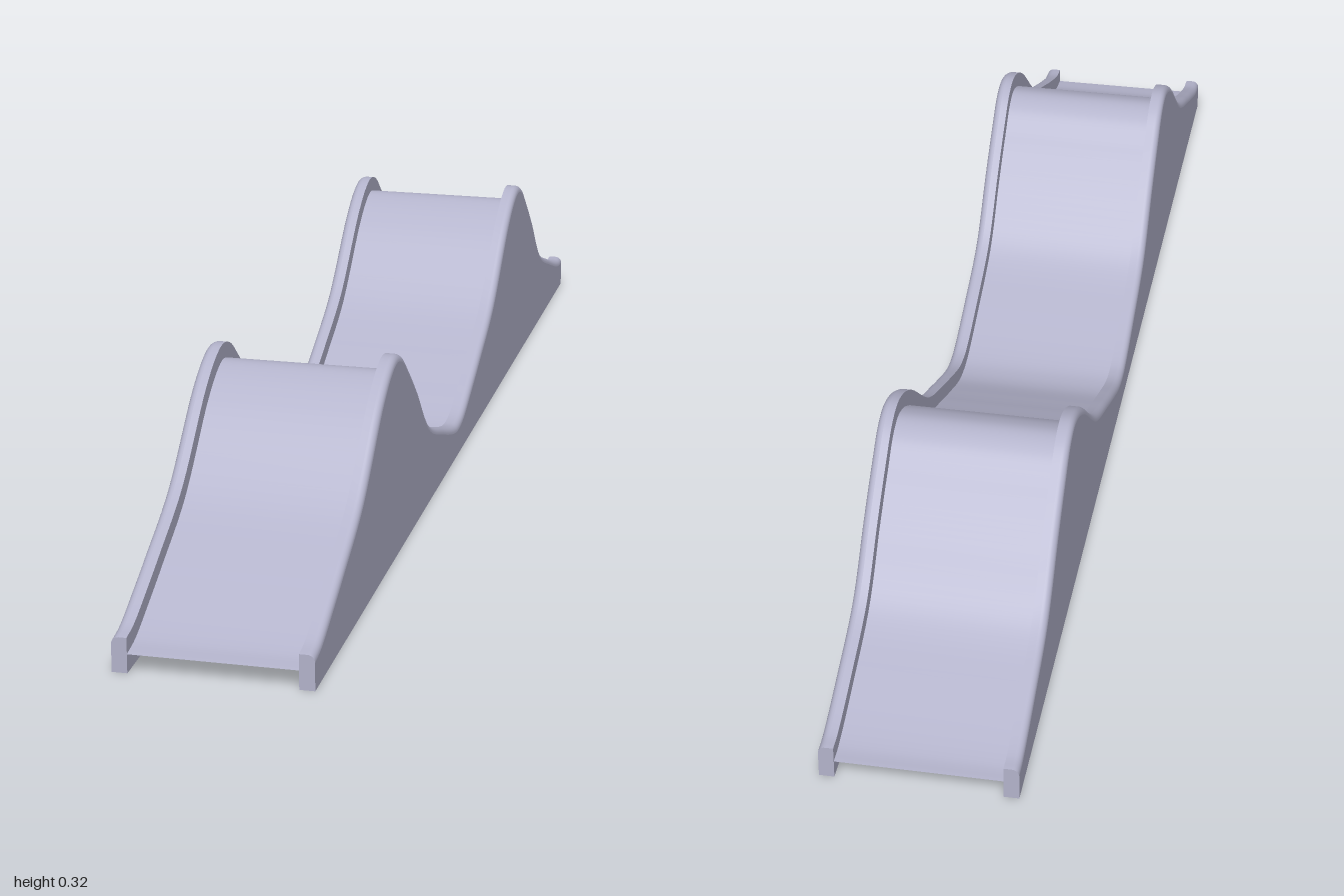
import * as THREE from 'three';

const INNER = 0.125, OUTER = 0.148, FILLET = 0.011, BED_DROP = 0.0245;

// One hump: distance along the slide, height of the wall
const HUMP = [
  [0, 0.054], [0.03, 0.056], [0.13, 0.088], [0.24, 0.134], [0.33, 0.222], [0.395, 0.279],
  [0.44, 0.313], [0.48, 0.324], [0.52, 0.316], [0.58, 0.283], [0.715, 0.173],
  [0.83, 0.117], [0.893, 0.089], [0.965, 0.06],
];

// Two humps in a row, sampled from back to front with the slope at each step
function sampleProfile() {
  const points = [];
  for (const start of [-1, 0]) {
    for (const [z, y] of HUMP) points.push(new THREE.Vector3(0, y, start + z));
  }
  points.push(new THREE.Vector3(0, HUMP[0][1], 1));
  const curve = new THREE.CatmullRomCurve3(points, false, 'centripetal');
  const samples = curve.getPoints(240);
  return samples.map((p, i) => {
    const a = samples[Math.max(i - 1, 0)], b = samples[Math.min(i + 1, samples.length - 1)];
    const slope = (b.y - a.y) / (b.z - a.z);
    return { z: p.z, y: p.y, stretch: Math.hypot(1, slope) };
  });
}

// Surface through the cross-section returned for every sample
function strip(samples, section, flip = false) {
  const positions = [], index = [];
  let n = 0;
  for (const s of samples) {
    const row = section(s);
    n = row.length;
    for (const [x, y] of row) positions.push(x, y, s.z);
  }
  for (let i = 0; i < samples.length - 1; i++) {
    for (let j = 0; j < n - 1; j++) {
      const a = i * n + j, b = a + n, c = b + 1, d = a + 1;
      if (flip) index.push(a, c, b, a, d, c);
      else index.push(a, b, c, a, c, d);
    }
  }
  const geometry = new THREE.BufferGeometry();
  geometry.setAttribute('position', new THREE.Float32BufferAttribute(positions, 3));
  geometry.setIndex(index);
  geometry.computeVertexNormals();
  return geometry;
}

export function createModel() {
  const model = new THREE.Group();
  model.name = 'waveSlide';
  const lavender = new THREE.MeshStandardMaterial({ color: 0xb4b4cc, side: THREE.DoubleSide });
  lavender.name = 'lavender grey';
  const samples = sampleProfile();

  const add = (parent, name, geometry) => {
    const mesh = new THREE.Mesh(geometry, lavender);
    mesh.name = name;
    parent.add(mesh);
  };

  // Sliding surface, a thin sheet set just below the wall tops
  add(model, 'slideBed', strip(samples, (s) => {
    const y = s.y - BED_DROP * s.stretch;
    return [[-INNER, y], [INNER, y]];
  }));

  // Side walls, rounded along the outer top edge
  for (const side of [1, -1]) {
    const wall = new THREE.Group();
    wall.name = side > 0 ? 'leftWall' : 'rightWall';
    model.add(wall);

    const fillet = (s) => {
      const drop = FILLET * s.stretch, row = [];
      for (let k = 0; k <= 6; k++) {
        const t = (k / 6) * Math.PI / 2;
        row.push([side * (OUTER - FILLET + FILLET * Math.sin(t)), s.y - drop * (1 - Math.cos(t))]);
      }
      return row;
    };
    const inner = side * INNER, outer = side * OUTER;
    const faces = {
      innerFace: (s) => [[inner, 0], [inner, s.y]],
      topEdge: (s) => [[inner, s.y], [side * (OUTER - FILLET), s.y]],
      roundedEdge: fillet,
      outerFace: (s) => [[outer, s.y - FILLET * s.stretch], [outer, 0]],
      bottomEdge: () => [[outer, 0], [inner, 0]],
    };
    for (const [name, section] of Object.entries(faces)) {
      add(wall, name, strip(samples, section, side < 0));
    }

    // Flat ends
    for (const s of [samples[0], samples[samples.length - 1]]) {
      const outline = [[inner, 0], [inner, s.y], ...fillet(s), [outer, 0]];
      const cap = new THREE.ShapeGeometry(new THREE.Shape(outline.map(([x, y]) => new THREE.Vector2(x, y))));
      cap.translate(0, 0, s.z);
      add(wall, s.z > 0 ? 'frontEnd' : 'backEnd', cap);
    }
  }
  return model;
}
